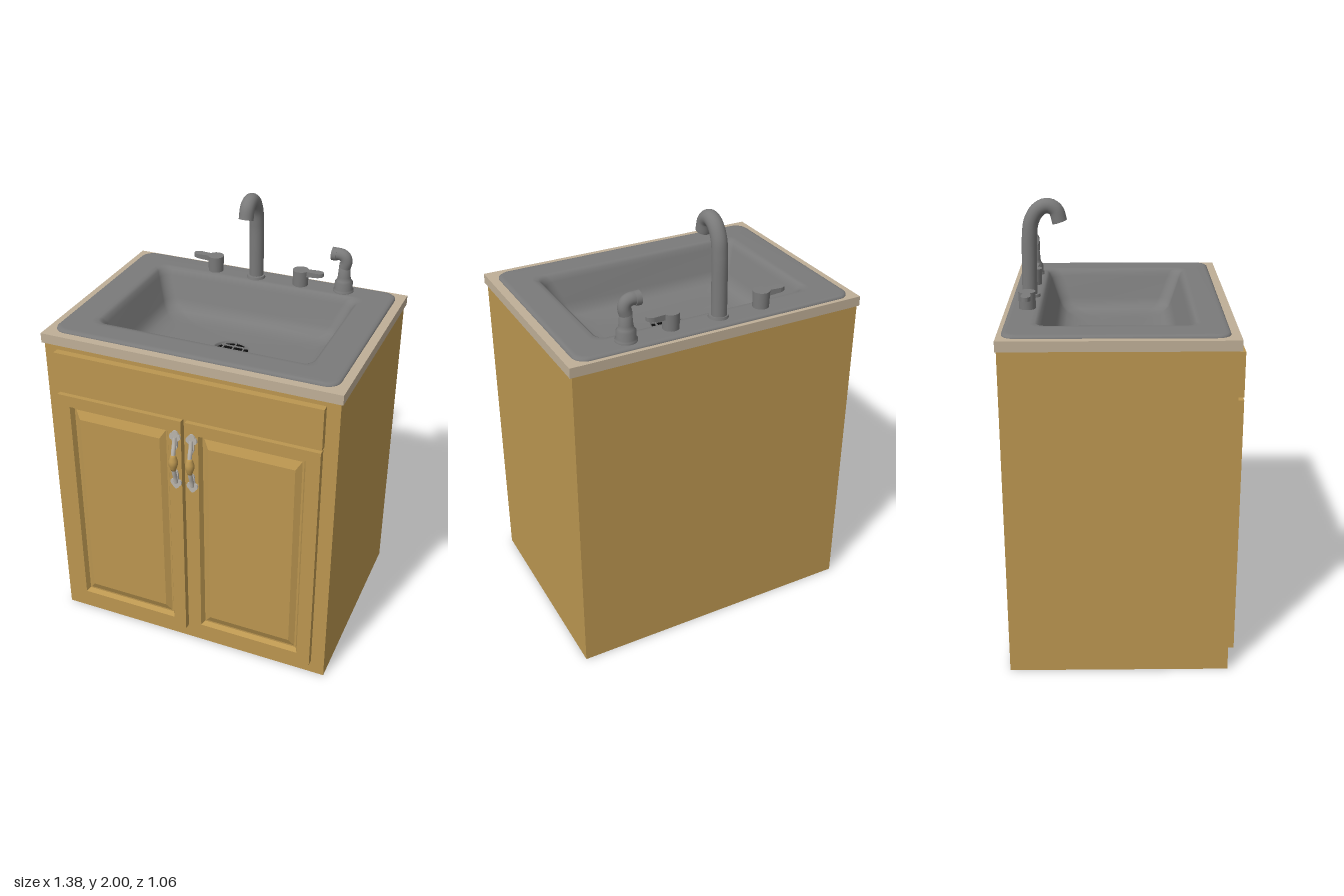
import * as THREE from 'three';

const mat = (name, color, extra = {}) => Object.assign(new THREE.MeshStandardMaterial({ color, ...extra }), { name });

// Rounded rectangle outline, counter-clockwise, at depth z
function ring(cx, cy, hx, hy, r, z, n = 0) {
  const pts = [];
  [[1, -1], [1, 1], [-1, 1], [-1, -1]].forEach(([sx, sy], q) => {
    for (let i = 0; i <= n; i++) {
      const a = (q - 1) * Math.PI / 2 + (n ? i / n : 0) * Math.PI / 2;
      pts.push([cx + sx * (hx - r) + r * Math.cos(a), cy + sy * (hy - r) + r * Math.sin(a), z]);
    }
  });
  return pts;
}

// Skin between successive outlines; optionally closes the last one
function loft(rings, cap, flat) {
  const n = rings[0].length, index = [];
  for (let j = 0; j < rings.length - 1; j++)
    for (let i = 0; i < n; i++) {
      const a = j * n + i, b = j * n + (i + 1) % n;
      index.push(a, b, b + n, a, b + n, a + n);
    }
  const base = (rings.length - 1) * n;
  if (cap) for (let i = 1; i < n - 1; i++) index.push(base, base + i, base + i + 1);
  let g = new THREE.BufferGeometry();
  g.setAttribute('position', new THREE.Float32BufferAttribute(rings.flat(2), 3));
  g.setIndex(index);
  if (flat) g = g.toNonIndexed();
  g.computeVertexNormals();
  return g;
}

const tube = (pts, r, seg = 32) => new THREE.TubeGeometry(
  new THREE.CatmullRomCurve3(pts.map(p => new THREE.Vector3(...p))), seg, r, 20);

export function createModel() {
  const model = new THREE.Group();
  model.name = 'sinkCabinet';
  const wood = mat('wood', 0xbb9650);
  const stone = mat('counterStone', 0xbfaf97);
  const metal = mat('greyMetal', 0x7a7a7a, {});
  const pewter = mat('pewter', 0xb9b4ac);
  const black = mat('drainBlack', 0x0c0c0c);

  const add = (parent, name, geo, material, x = 0, y = 0, z = 0) => {
    const m = new THREE.Mesh(geo, material);
    m.name = name;
    m.position.set(x, y, z);
    parent.add(m);
    return m;
  };
  const box = (name, x0, x1, y0, y1, z0, z1, material) => add(model, name,
    new THREE.BoxGeometry(x1 - x0, y1 - y0, z1 - z0), material, (x0 + x1) / 2, (y0 + y1) / 2, (z0 + z1) / 2);
  const group = name => {
    const g = new THREE.Group();
    g.name = name;
    model.add(g);
    return g;
  };

  // Cabinet carcass, open at the top for the basin
  box('cabinetBottom', -0.68, 0.68, 0, 0.02, -0.525, 0.45, wood);
  box('cabinetBack', -0.68, 0.68, 0.02, 1.5, -0.525, -0.505, wood);
  box('cabinetFront', -0.68, 0.68, 0.02, 1.5, 0.43, 0.45, wood);
  for (const s of [-1, 1])
    box('cabinetSide', s * 0.67 - 0.01, s * 0.67 + 0.01, 0.02, 1.5, -0.505, 0.43, wood);
  box('drawerFront', -0.62, 0.62, 1.28, 1.475, 0.45, 0.482, wood);

  // Doors with a grooved frame and raised panel
  for (const [name, x0, x1, p0, p1] of [
    ['rightDoor', -0.62, -0.015, -0.563, -0.077], ['leftDoor', 0.005, 0.616, 0.066, 0.553]]) {
    const cx = (x0 + x1) / 2, px = (p0 + p1) / 2, hx = (x1 - x0) / 2, hp = (p1 - p0) / 2;
    add(model, name, loft([
      ring(cx, 0.668, hx, 0.597, 0, 0.45),
      ring(cx, 0.668, hx, 0.597, 0, 0.482),
      ring(px, 0.668, hp, 0.542, 0, 0.482),
      ring(px, 0.668, hp - 0.012, 0.53, 0, 0.46),
      ring(px, 0.668, hp - 0.02, 0.522, 0, 0.46),
      ring(px, 0.668, hp - 0.045, 0.482, 0, 0.477),
    ], true, true), wood);
  }

  // Door pulls: leaf ends, curved arms and a turned wooden grip
  const leaf = new THREE.Shape();
  leaf.moveTo(0, -0.05);
  leaf.bezierCurveTo(0.02, -0.04, 0.008, -0.01, 0.014, 0);
  leaf.bezierCurveTo(0.034, 0.005, 0.026, 0.03, 0.018, 0.032);
  leaf.quadraticCurveTo(0.012, 0.045, 0, 0.05);
  leaf.quadraticCurveTo(-0.012, 0.045, -0.018, 0.032);
  leaf.bezierCurveTo(-0.026, 0.03, -0.034, 0.005, -0.014, 0);
  leaf.bezierCurveTo(-0.008, -0.01, -0.02, -0.04, 0, -0.05);
  const leafGeo = new THREE.ExtrudeGeometry(leaf, { depth: 0.008, bevelEnabled: false, curveSegments: 6 });
  const gripGeo = new THREE.LatheGeometry([[0, -0.042], [0.011, -0.04], [0.014, -0.03], [0.02, -0.012],
    [0.021, 0], [0.02, 0.012], [0.014, 0.03], [0.011, 0.04], [0, 0.042]].map(p => new THREE.Vector2(...p)), 20);
  for (const x of [-0.042, 0.037]) {
    const pull = group('doorPull');
    pull.position.set(x, 1.065, 0.482);
    add(pull, 'pullGrip', gripGeo, wood, 0, 0, 0.028);
    for (const s of [-1, 1]) {
      const l = add(pull, 'pullLeaf', leafGeo, pewter, 0, s * 0.103, s > 0 ? 0 : 0.008);
      if (s < 0) l.rotation.x = Math.PI;
      add(pull, 'pullArm', tube([[0, s * 0.12, 0.006], [0, s * 0.09, 0.012], [0, s * 0.06, 0.022],
        [0, s * 0.035, 0.028]], 0.01, 10), pewter);
    }
  }

  // Countertop with a cut-out
  const top = new THREE.Shape([[-0.69, -0.46], [0.69, -0.46], [0.69, 0.53], [-0.69, 0.53]]
    .map(p => new THREE.Vector2(...p)));
  top.holes.push(new THREE.Path([[-0.6, -0.36], [-0.6, 0.46], [0.6, 0.46], [0.6, -0.36]]
    .map(p => new THREE.Vector2(...p))));
  const topGeo = new THREE.ExtrudeGeometry(top, { depth: 0.045, bevelEnabled: false });
  add(model, 'countertop', topGeo.rotateX(-Math.PI / 2), stone, 0, 1.5, 0);

  // Sink: rolled rim, sloping walls and a dished floor running to the drain
  const sinkGeo = loft([
    [0.653, 0.466, 0.06, 1.545], [0.652, 0.465, 0.06, 1.551], [0.645, 0.458, 0.055, 1.556],
    [0.632, 0.445, 0.05, 1.558], [0.53, 0.355, 0.05, 1.558], [0.51, 0.338, 0.05, 1.557],
    [0.497, 0.326, 0.05, 1.548], [0.485, 0.315, 0.055, 1.525], [0.445, 0.277, 0.06, 1.425],
    [0.43, 0.262, 0.06, 1.395], [0.405, 0.238, 0.06, 1.376], [0.37, 0.205, 0.06, 1.366],
    [0.32, 0.165, 0.08, 1.361], [0.09, 0.09, 0.09, 1.358], [0.083, 0.083, 0.083, 1.356],
    [0.083, 0.083, 0.083, 1.34],
  ].map(([hx, hy, r, y]) => ring(-0.003, 0.045, hx, hy, r, y, 8)), false, false);
  add(model, 'sinkBasin', sinkGeo.rotateX(-Math.PI / 2), metal);

  // Drain with a crossed strainer
  const drain = group('drain');
  drain.position.set(-0.003, 1.344, -0.045);
  add(drain, 'drainDisc', new THREE.CircleGeometry(0.084, 32).rotateX(-Math.PI / 2), black);
  for (const d of [-0.05, 0, 0.05]) {
    const len = 2 * Math.sqrt(0.083 ** 2 - d * d);
    add(drain, 'strainerBar', new THREE.BoxGeometry(len, 0.005, 0.006), metal, 0, 0.004, d);
    add(drain, 'strainerBar', new THREE.BoxGeometry(0.006, 0.005, len), metal, d, 0.004, 0);
  }

  // Gooseneck spout
  const faucet = group('faucet');
  faucet.position.set(-0.03, 0, 0);
  add(faucet, 'spoutFlange', new THREE.CylinderGeometry(0.042, 0.045, 0.014, 28), metal, 0, 1.563, -0.43);
  add(faucet, 'spout', tube([[0, 1.555, -0.435], [0, 1.7, -0.432], [0, 1.83, -0.428], [0, 1.9, -0.417],
    [0, 1.95, -0.385], [0, 1.966, -0.345], [0, 1.948, -0.309], [0, 1.895, -0.292]], 0.034, 48), metal);
  const cap = add(faucet, 'spoutOutlet', new THREE.CircleGeometry(0.034, 20), metal, 0, 1.895, -0.292);
  cap.rotation.x = Math.PI / 2 - 0.3;

  // Lever taps, mirrored
  const lever = new THREE.Shape();
  lever.moveTo(0, -0.014);
  lever.lineTo(0.085, -0.021);
  lever.quadraticCurveTo(0.113, -0.018, 0.113, 0);
  lever.quadraticCurveTo(0.113, 0.018, 0.085, 0.021);
  lever.lineTo(0, 0.014);
  const leverGeo = new THREE.ExtrudeGeometry(lever, { depth: 0.03, bevelEnabled: false }).rotateX(-Math.PI / 2);
  const lp = leverGeo.attributes.position;
  // Thin the lever towards its tip from below
  for (let i = 0; i < lp.count; i++)
    if (lp.getY(i) < 0.01) lp.setY(i, 0.012 * lp.getX(i) / 0.113);
  leverGeo.computeVertexNormals();
  for (const [x, turn] of [[-0.239, Math.PI], [0.195, 0]]) {
    const tap = group('tap');
    tap.position.set(x, 1.555, -0.43);
    tap.rotation.y = turn;
    add(tap, 'tapBody', new THREE.CylinderGeometry(0.038, 0.036, 0.078, 28), metal, 0, 0.039, 0);
    add(tap, 'tapLever', leverGeo, metal, 0, 0.048, 0);
  }

  // Side sprayer: stepped base, tapered stem and bent head
  const sprayer = group('sprayer');
  sprayer.position.set(0.404, 1.555, -0.442);
  add(sprayer, 'sprayerBase', new THREE.LatheGeometry([[0.048, 0], [0.048, 0.012], [0.042, 0.016], [0.042, 0.05],
    [0.034, 0.058], [0.03, 0.075], [0.025, 0.14], [0, 0.14]].map(p => new THREE.Vector2(...p)), 24), metal);
  add(sprayer, 'sprayerHead', tube([[0, 0.12, 0], [0.006, 0.15, 0], [-0.002, 0.172, 0],
    [-0.022, 0.181, 0], [-0.042, 0.181, 0]], 0.028, 20), metal);
  const nozzle = add(sprayer, 'sprayerNozzle', new THREE.CylinderGeometry(0.031, 0.03, 0.024, 24), metal, -0.05, 0.179, 0);
  nozzle.rotation.z = Math.PI / 2;
  return model;
}
